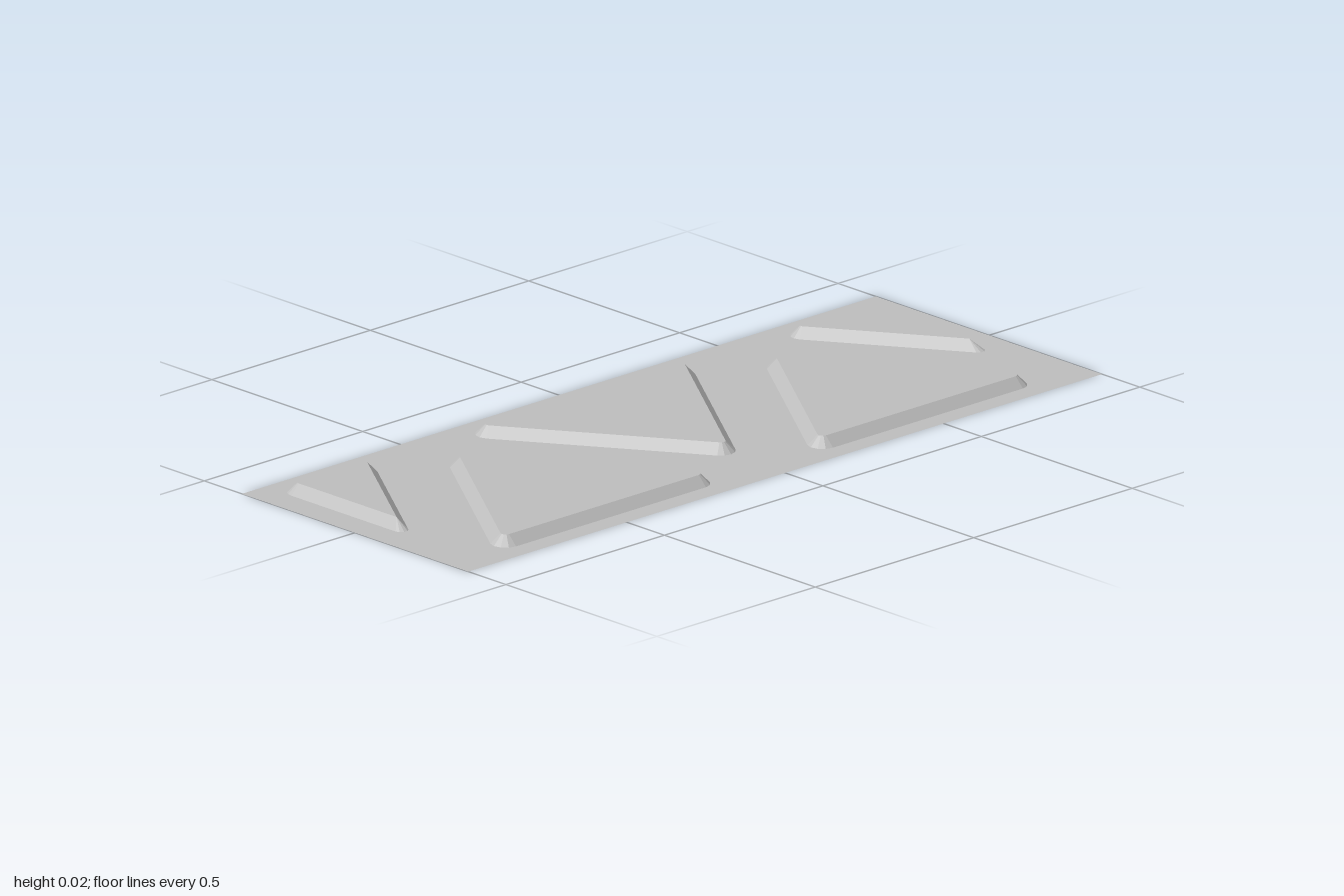
import * as THREE from 'three';

const HEIGHT = 0.024, SLOPE = 0.0235, SEGMENTS = 4;

// Rounded outline of a counter-clockwise triangle of [x, y, radius], moved inwards by inset
function outline(corners, inset) {
  const points = [];
  corners.forEach(([x, y, radius], i) => {
    const p = new THREE.Vector2(x, y);
    const [ax, ay] = corners[(i + 2) % 3], [bx, by] = corners[(i + 1) % 3];
    const toA = new THREE.Vector2(ax, ay).sub(p).normalize();
    const toB = new THREE.Vector2(bx, by).sub(p).normalize();
    const half = Math.acos(toA.dot(toB)) / 2;
    const r = Math.max(radius - inset, 0);
    const bisector = toA.clone().add(toB).normalize();
    const centre = p.clone().addScaledVector(bisector, (r + inset) / Math.sin(half));
    const middle = Math.atan2(-bisector.y, -bisector.x), sweep = Math.PI - 2 * half;
    for (let k = 0; k <= SEGMENTS; k++) {
      const a = middle + sweep * (k / SEGMENTS - 0.5);
      points.push(new THREE.Vector2(centre.x + r * Math.cos(a), centre.y + r * Math.sin(a)));
    }
  });
  return points;
}

// Sloping band between the base and top outlines
function bandGeometry(base, top) {
  const positions = [];
  base.forEach((b, i) => {
    const j = (i + 1) % base.length, c = base[j], t = top[i], u = top[j];
    positions.push(b.x, b.y, 0, c.x, c.y, 0, u.x, u.y, HEIGHT);
    positions.push(b.x, b.y, 0, u.x, u.y, HEIGHT, t.x, t.y, HEIGHT);
  });
  const geometry = new THREE.BufferGeometry();
  geometry.setAttribute('position', new THREE.Float32BufferAttribute(positions, 3));
  geometry.computeVertexNormals();
  return geometry;
}

export function createModel() {
  const grey = new THREE.MeshStandardMaterial({ color: 0xc0c0c0, side: THREE.DoubleSide });
  grey.name = 'light grey';

  const model = new THREE.Group();
  model.name = 'embossedPanel';
  const sheet = new THREE.Group();
  sheet.name = 'sheet';
  sheet.rotation.x = -Math.PI / 2; // drawn in x and -z, then laid flat
  model.add(sheet);

  const add = (name, geometry, parent) => {
    const mesh = new THREE.Mesh(geometry, grey);
    mesh.name = name;
    parent.add(mesh);
  };

  // Large triangles alternate sides; small half triangles fill two corners
  const large = (side, y) => {
    const c = [[-0.323 * side, y - 0.365, 0.035], [0.224 * side, y, 0.035], [-0.323 * side, y + 0.365, 0.035]];
    return side > 0 ? c : c.reverse();
  };
  const small = (end) => {
    const c = [[-0.323, 0.636 * end, 0.03], [0.114, 0.927 * end, 0.017], [-0.323, 0.927 * end, 0.035]];
    return end > 0 ? c : c.reverse();
  };
  const triangles = {
    middleTriangle: large(1, 0),
    frontTriangle: large(-1, -0.5),
    backTriangle: large(-1, 0.5),
    frontCornerTriangle: small(-1),
    backCornerTriangle: small(1),
  };

  // Flat base sheet, open beneath each raised triangle
  const plate = new THREE.Shape([
    new THREE.Vector2(-0.375, -1), new THREE.Vector2(0.375, -1),
    new THREE.Vector2(0.375, 1), new THREE.Vector2(-0.375, 1),
  ]);

  for (const [name, corners] of Object.entries(triangles)) {
    const base = outline(corners, 0), top = outline(corners, SLOPE);
    plate.holes.push(new THREE.Path(base));
    const raised = new THREE.Group();
    raised.name = name;
    add('slopingEdge', bandGeometry(base, top), raised);
    // Drop repeated points where the top corners are sharp
    const clean = top.filter((p, i) => p.distanceTo(top[(i + 1) % top.length]) > 1e-5);
    add('raisedFace', new THREE.ShapeGeometry(new THREE.Shape(clean)).translate(0, 0, HEIGHT), raised);
    sheet.add(raised);
  }
  add('basePlate', new THREE.ShapeGeometry(plate), sheet);
  return model;
}
